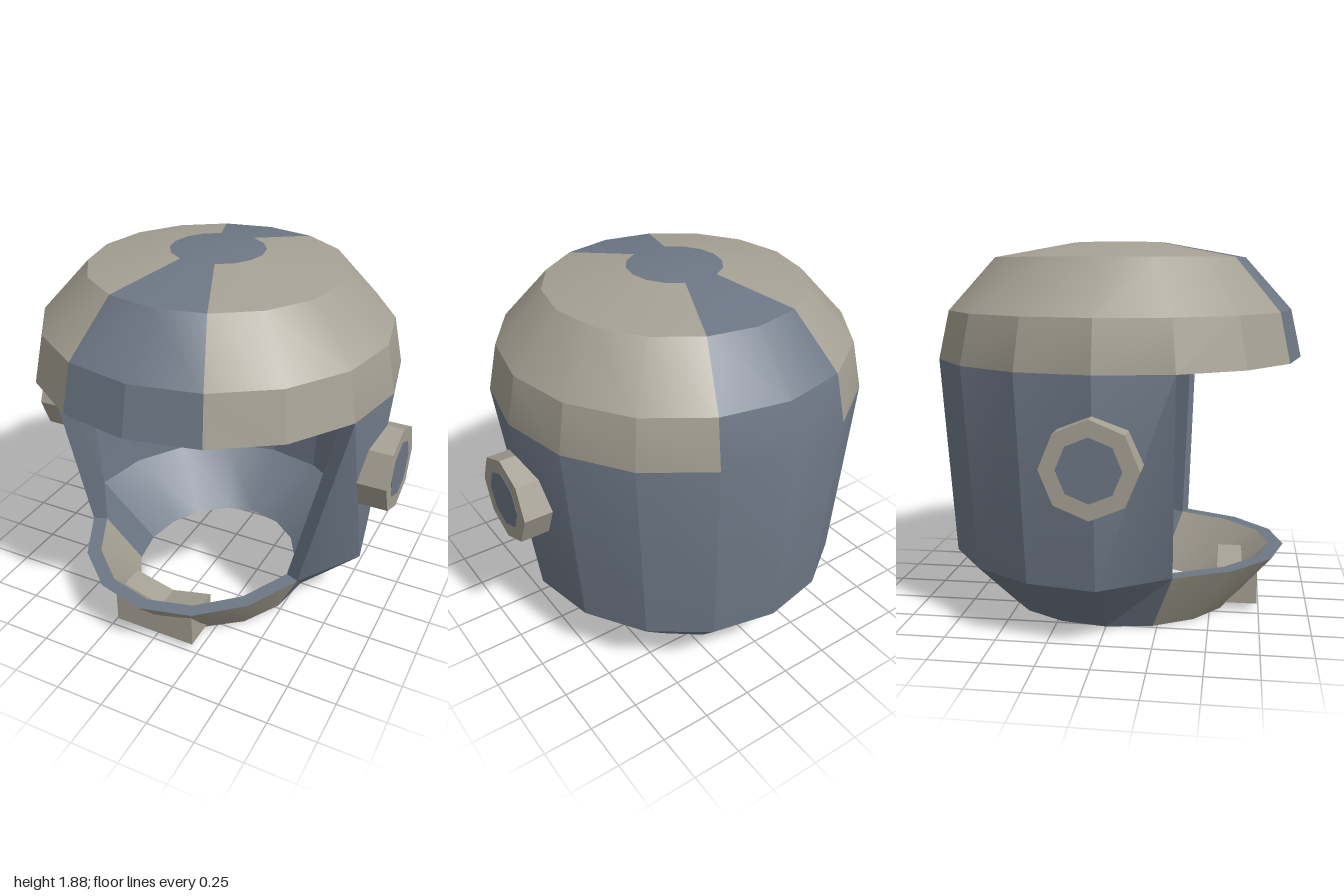
import * as THREE from 'three';
import { toCreasedNormals } from 'three/addons/utils/BufferGeometryUtils.js';

const SIDES = 16;
// Rings: height, half width at front, half width at sides and back, half depth
const OUTER = [
  [0, 0.52, 0.52, 0.6], [0.3, 0.67, 0.84, 0.875], [1.3, 0.93, 0.93, 0.935],
  [1.54, 0.88, 0.88, 0.88], [1.8, 0.64, 0.64, 0.645], [1.875, 0.235, 0.235, 0.235], [1.875, 0, 0, 0],
];
const INNER = [
  [0, 0.435, 0.435, 0.515], [0.3, 0.595, 0.765, 0.8], [1.3, 0.86, 0.86, 0.865],
  [1.52, 0.81, 0.81, 0.81], [1.735, 0.6, 0.6, 0.6], [1.805, 0.23, 0.23, 0.23], [1.805, 0, 0, 0],
];
const isFront = (i) => i < 3 || i > 12; // sectors over the face
const isStripe = (i) => [15, 0, 7, 8].includes(i); // sectors of the central stripe

function ringPoint(rings, k, i) {
  const [y, front, side, depth] = rings[k];
  const j = i % SIDES;
  const a = (j * Math.PI * 2) / SIDES;
  const width = j < 4 || j > 12 ? front : side;
  return new THREE.Vector3(Math.sin(a) * width, y, Math.cos(a) * depth);
}

// Hollow shell with a wide face opening, coloured by sector
function shellGeometry() {
  const faces = [[], []]; // blue, tan
  const quad = (m, a, b, c, d, flip = false) => {
    const first = flip ? [a, b, c] : [a, b, d];
    const second = flip ? [a, c, d] : [b, c, d];
    faces[m].push(...first);
    if (c.distanceTo(d) > 1e-5) faces[m].push(...second);
  };
  const o = (k, i) => ringPoint(OUTER, k, i);
  const n = (k, i) => ringPoint(INNER, k, i);

  for (let k = 0; k < OUTER.length - 1; k++) {
    for (let i = 0; i < SIDES; i++) {
      if (k === 1 && isFront(i)) continue;
      const tan = k === 0 ? isFront(i) : k >= 2 && k < 5 && !isStripe(i);
      const m = tan ? 1 : 0;
      const flip = i >= 8;
      quad(m, o(k, i), o(k, i + 1), o(k + 1, i + 1), o(k + 1, i), flip);
      quad(m, n(k, i + 1), n(k, i), n(k + 1, i), n(k + 1, i + 1), !flip);
    }
  }
  // Rims of the neck hole and the face opening
  for (let i = 0; i < SIDES; i++) {
    quad(0, o(0, i + 1), o(0, i), n(0, i), n(0, i + 1));
    if (!isFront(i)) continue;
    quad(0, o(1, i), o(1, i + 1), n(1, i + 1), n(1, i));
    quad(0, o(2, i + 1), o(2, i), n(2, i), n(2, i + 1));
  }
  quad(0, n(1, 3), o(1, 3), o(2, 3), n(2, 3));
  quad(0, o(1, 13), n(1, 13), n(2, 13), o(2, 13));

  const geometry = new THREE.BufferGeometry().setFromPoints(faces.flat());
  geometry.addGroup(0, faces[0].length, 0);
  geometry.addGroup(faces[0].length, faces[1].length, 1);
  return toCreasedNormals(geometry, THREE.MathUtils.degToRad(20));
}

export function createModel() {
  const blue = new THREE.MeshStandardMaterial({ name: 'slate blue', color: 0x6d7785 });
  const tan = new THREE.MeshStandardMaterial({ name: 'warm grey', color: 0xa5a093 });
  const model = new THREE.Group();
  model.name = 'helmet';
  const add = (name, geometry, material, parent = model) => {
    const mesh = new THREE.Mesh(geometry, material);
    mesh.name = name;
    parent.add(mesh);
    return mesh;
  };

  add('helmetShell', shellGeometry(), [blue, tan]);

  // Octagonal ear pieces with a coloured centre
  const ear = toCreasedNormals(new THREE.CylinderGeometry(0.222, 0.222, 0.148, 8).rotateZ(-Math.PI / 2), 0.3);
  const centre = toCreasedNormals(new THREE.CylinderGeometry(0.146, 0.146, 0.004, 8).rotateZ(-Math.PI / 2), 0.3);
  for (const [side, turn] of [['left', 0], ['right', Math.PI]]) {
    const group = new THREE.Group();
    group.name = side + 'Ear';
    group.position.y = 0.9;
    group.rotation.y = turn;
    add(side + 'EarRing', ear, tan, group).position.x = 0.924;
    add(side + 'EarCentre', centre, blue, group).position.x = 0.998;
    model.add(group);
  }

  // Notched chin block
  const shape = new THREE.Shape([[-0.22, 0.04], [0.22, 0.04], [0.22, 0.21], [0, 0.155], [-0.22, 0.21]]
    .map(([x, y]) => new THREE.Vector2(x, y)));
  const chin = new THREE.ExtrudeGeometry(shape, { depth: 0.21, bevelEnabled: false });
  add('chinBlock', chin, tan).position.z = 0.53;

  return model;
}
